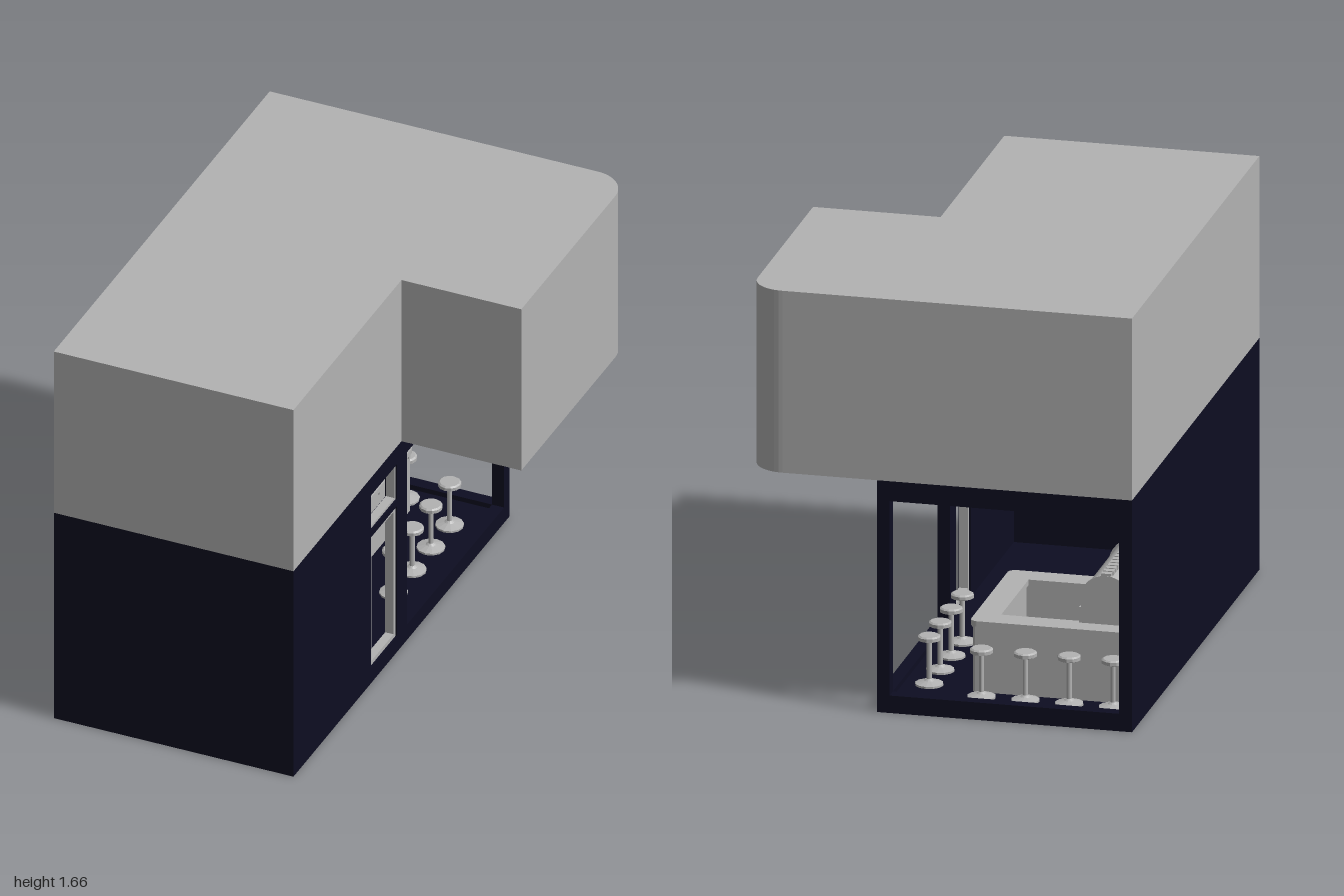
import * as THREE from 'three';

const grey = new THREE.MeshStandardMaterial({ color: 0xb3b3b3 });
grey.name = 'pale grey';
const navy = new THREE.MeshStandardMaterial({ color: 0x0d0d21 });
navy.name = 'dark navy';

function add(parent, name, geometry, material) {
  const mesh = new THREE.Mesh(geometry, material);
  mesh.name = name;
  parent.add(mesh);
  return mesh;
}

// box given by its min and max corners
function box(parent, name, [x0, y0, z0], [x1, y1, z1], material) {
  const mesh = add(parent, name, new THREE.BoxGeometry(x1 - x0, y1 - y0, z1 - z0), material);
  mesh.position.set((x0 + x1) / 2, (y0 + y1) / 2, (z0 + z1) / 2);
  return mesh;
}

const rect = (x0, y0, x1, y1, Type = THREE.Shape) =>
  new Type([[x0, y0], [x1, y0], [x1, y1], [x0, y1]].map((p) => new THREE.Vector2(...p)));

const extrude = (shape, depth) =>
  new THREE.ExtrudeGeometry(shape, { depth, bevelEnabled: false, curveSegments: 6 });

// plan shapes use (x, -z) and are raised along y
const raise = (shape, y0, y1) => extrude(shape, y1 - y0).rotateX(-Math.PI / 2).translate(0, y0, 0);

// L-shaped storey plan with one rounded corner, inset by t
function storeyPlan(t, Type = THREE.Shape) {
  const r = 0.13 - t, e = 0.75 - t, b = 1 - t;
  const s = new Type();
  s.moveTo(-e, -b);
  s.lineTo(0.25 - t, -b);
  s.lineTo(0.25 - t, t);
  s.lineTo(e, t);
  s.lineTo(e, b - r);
  s.absarc(e - r, b - r, r, 0, Math.PI / 2, false);
  s.lineTo(-e, b);
  s.closePath();
  return s;
}

// U-shaped counter plan, open towards the left wall
function counterPlan(x1, z0, z1, w, r) {
  const s = new THREE.Shape();
  s.moveTo(-0.7, z0);
  s.lineTo(x1 - r, z0);
  s.absarc(x1 - r, z0 + r, r, -Math.PI / 2, 0, false);
  s.lineTo(x1, z1 - r);
  s.absarc(x1 - r, z1 - r, r, 0, Math.PI / 2, false);
  s.lineTo(-0.7, z1);
  s.lineTo(-0.7, z1 - w);
  s.lineTo(x1 - w, z1 - w);
  s.lineTo(x1 - w, z0 + w);
  s.lineTo(-0.7, z0 + w);
  s.closePath();
  return s;
}

function upperStorey() {
  const g = new THREE.Group();
  g.name = 'upperStorey';
  const walls = storeyPlan(0);
  walls.holes.push(storeyPlan(0.05, THREE.Path));
  add(g, 'upperWalls', raise(walls, 0.93, 1.61), grey);
  add(g, 'roof', raise(storeyPlan(0), 1.61, 1.66), grey);
  return g;
}

function groundFloor() {
  const g = new THREE.Group();
  g.name = 'groundFloor';
  box(g, 'floor', [-0.75, 0, -1], [0.25, 0.05, 1], navy);
  box(g, 'frontWall', [-0.75, 0, 0.95], [0.25, 0.93, 1], navy);
  box(g, 'farSideWall', [-0.75, 0, -1], [-0.7, 0.93, 1], navy);

  // entrance wall: window, door and transom openings, drawn in (-z, y)
  const side = rect(-1, 0, 1, 0.93);
  side.holes.push(
    rect(0.05, 0.07, 0.95, 0.85, THREE.Path),
    rect(-0.28, 0.07, -0.04, 0.66, THREE.Path),
    rect(-0.28, 0.69, -0.04, 0.85, THREE.Path));
  add(g, 'entranceWall', extrude(side, 0.05).rotateY(Math.PI / 2).translate(0.2, 0, 0), navy);

  // back window frame
  const back = rect(-0.75, 0, 0.25, 0.93);
  back.holes.push(rect(-0.7, 0.07, 0.2, 0.85, THREE.Path));
  add(g, 'backWindowFrame', extrude(back, 0.05).translate(0, 0, -1), navy);

  // trims lining the door and transom openings
  for (const [name, y0, y1, w] of [['doorFrame', 0.07, 0.66, 0.018], ['transomFrame', 0.69, 0.85, 0.011]]) {
    const trim = rect(-0.28, y0, -0.04, y1);
    trim.holes.push(rect(-0.28 + w, y0 + w, -0.04 - w, y1 - w, THREE.Path));
    add(g, name, extrude(trim, 0.035).rotateY(Math.PI / 2).translate(0.208, 0, 0), grey);
  }
  return g;
}

function counter() {
  const g = new THREE.Group();
  g.name = 'counter';
  add(g, 'counterBody', raise(counterPlan(-0.08, 0.21, 0.82, 0.08, 0.01), 0.05, 0.315), grey);
  add(g, 'counterTop', raise(counterPlan(-0.07, 0.2, 0.83, 0.1, 0.03), 0.315, 0.337), grey);
  // small brackets under the counter top
  for (let i = 0; i < 5; i++) {
    const z = -0.24 - i * 0.1375;
    box(g, 'bracket', [-0.08, 0.303, z - 0.006], [-0.071, 0.315, z + 0.006], grey);
  }
  return g;
}

// barrel-shaped unit standing behind the counter
function barrelUnit() {
  const g = new THREE.Group();
  g.name = 'barrelUnit';
  box(g, 'barrelStand', [-0.69, 0.05, -0.75], [-0.48, 0.4, -0.29], grey);
  const barrel = (name, r, z0, z1) => {
    const geo = new THREE.CylinderGeometry(r, r, z1 - z0, 32).rotateX(Math.PI / 2);
    add(g, name, geo, grey).position.set(-0.585, 0.43, (z0 + z1) / 2);
  };
  barrel('barrel', 0.095, -0.74, -0.3);
  barrel('barrelEnd', 0.102, -0.75, -0.74);
  barrel('barrelEnd', 0.102, -0.3, -0.29);
  // row of slats along the top
  for (let i = 0; i < 13; i++) {
    const z = -0.305 - i * 0.0358;
    box(g, 'topSlat', [-0.605, 0.52, z - 0.013], [-0.565, 0.54, z + 0.013], grey);
  }
  return g;
}

const stoolGeometry = new THREE.LatheGeometry([
  [0, 0.05], [0.055, 0.05], [0.055, 0.058], [0.02, 0.068], [0.01, 0.075], [0.01, 0.22],
  [0.03, 0.226], [0.045, 0.232], [0.045, 0.245], [0.038, 0.25], [0, 0.25],
].map((p) => new THREE.Vector2(...p)), 12).toNonIndexed();
stoolGeometry.computeVertexNormals();

function stools() {
  const g = new THREE.Group();
  g.name = 'stools';
  const place = (x, z) => add(g, 'stool', stoolGeometry, grey).position.set(x, 0, z);
  for (let i = 0; i < 4; i++) {
    place(0.1, -0.26 - i * 0.173);
    place(-0.13 - i * 0.172, -0.14);
    place(-0.13 - i * 0.172, -0.88);
  }
  return g;
}

export function createModel() {
  const model = new THREE.Group();
  model.name = 'cornerDiner';
  model.add(upperStorey(), groundFloor(), counter(), barrelUnit(), stools());
  return model;
}
